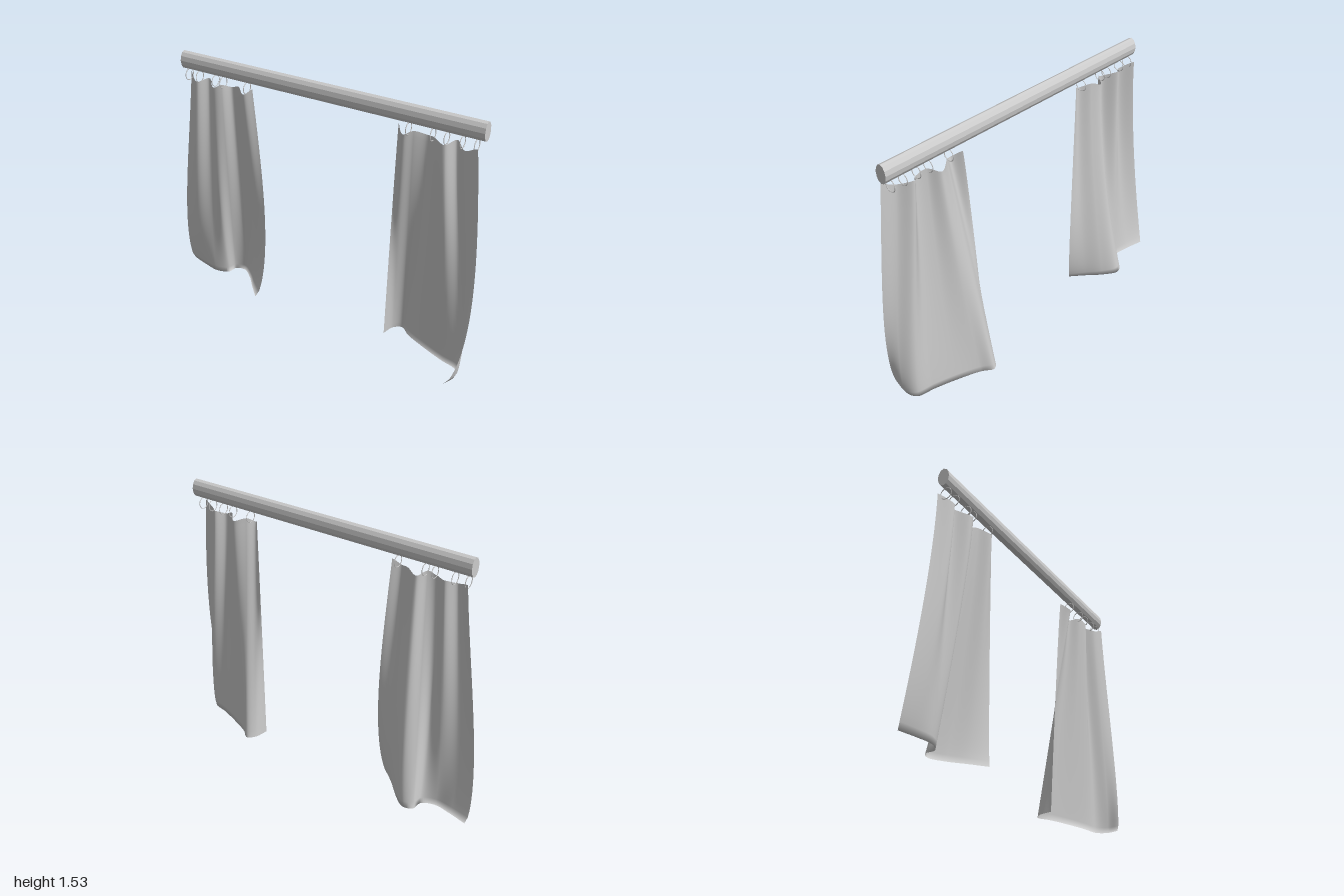
import * as THREE from 'three';
import { ParametricGeometry } from 'three/addons/geometries/ParametricGeometry.js';

const { lerp, mapLinear } = THREE.MathUtils;
const grey = new THREE.MeshStandardMaterial({ color: 0xcccccc });
const facetedGrey = new THREE.MeshStandardMaterial({ color: 0xcccccc, flatShading: true });
const clothGrey = new THREE.MeshStandardMaterial({ color: 0xcccccc, side: THREE.DoubleSide });

// Rod runs slightly askew in plan
const rodStart = new THREE.Vector3(-0.89, 1.477, -0.072);
const rodEnd = new THREE.Vector3(0.974, 1.477, 0.115);
const rodZ = x => mapLinear(x, rodStart.x, rodEnd.x, rodStart.z, rodEnd.z);
const rodAngle = Math.atan2(rodStart.z - rodEnd.z, rodEnd.x - rodStart.x);

// Each curtain: plan outlines [x, z] of heading and hem, hem heights, [x, z] swell of
// both edges, and how late the cloth leaves the heading shape at both edges
const leftCurtain = {
  name: 'leftCurtain',
  rings: [0.555, 0.69, 0.765, 0.85, 0.925],
  hemY: [0.03, 0.004],
  swell: [[0, 0], [0.08, 0]],
  delay: [0.85, 1.6],
  heading: [[0.487, 0.04], [0.53, 0.09], [0.58, 0.065], [0.65, 0.035], [0.7, 0.09], [0.76, 0.11], [0.81, 0.065], [0.87, 0.13], [0.945, 0.155]],
  hem: [[0.43, -0.02], [0.455, -0.1], [0.5, -0.13], [0.56, -0.08], [0.69, -0.01], [0.81, 0.045], [0.91, 0.085], [0.925, 0.15], [0.89, 0.225]],
};
const rightCurtain = {
  name: 'rightCurtain',
  rings: [-0.86, -0.785, -0.67, -0.615, -0.45],
  hemY: [0.03, 0.052],
  swell: [[0.055, -0.03], [-0.045, 0.03]],
  delay: [1.4, 1.5],
  heading: [[-0.412, -0.02], [-0.46, 0], [-0.52, -0.05], [-0.58, -0.075], [-0.62, -0.03], [-0.67, -0.02], [-0.74, -0.09], [-0.8, -0.05], [-0.875, -0.11]],
  hem: [[-0.43, 0], [-0.5, -0.08], [-0.57, -0.165], [-0.645, -0.225], [-0.7, -0.21], [-0.715, -0.15], [-0.79, -0.125], [-0.89, -0.15], [-0.997, -0.187]],
};

const planCurve = points => new THREE.CatmullRomCurve3(points.map(([x, z]) => new THREE.Vector3(x, 0, z)));

// Cloth: folds blend from heading to hem while the edges swell out between them
function clothGeometry({ heading, hem, hemY, swell, delay }) {
  const hemCurve = planCurve(hem);
  const headingCurve = planCurve(heading);
  return new ParametricGeometry((u, v, target) => {
    const hemShare = (1 - v) ** lerp(delay[0], delay[1], u);
    target.lerpVectors(headingCurve.getPoint(u), hemCurve.getPoint(u), hemShare);
    const belly = Math.sin(Math.PI * v ** 0.6);
    const nearStart = belly * (1 - u) ** 3;
    const nearEnd = belly * u ** 3;
    target.x += nearStart * swell[0][0] + nearEnd * swell[1][0];
    target.z += nearStart * swell[0][1] + nearEnd * swell[1][1];
    const top = 1.37 + 0.01 * Math.cos(8 * Math.PI * u) + 0.015 * Math.abs(2 * u - 1) ** 6;
    target.y = lerp(lerp(hemY[0], hemY[1], u), top, v);
  }, 64, 36);
}

function add(parent, name, geometry, material) {
  const mesh = new THREE.Mesh(geometry, material);
  mesh.name = name;
  parent.add(mesh);
  return mesh;
}

export function createModel() {
  const model = new THREE.Group();
  model.name = 'curtainsOnRod';

  // Oval rod
  const rodGeometry = new THREE.CylinderGeometry(0.0525, 0.0525, rodStart.distanceTo(rodEnd), 12);
  rodGeometry.rotateZ(Math.PI / 2).scale(1, 1, 0.66);
  const rod = add(model, 'rod', rodGeometry, facetedGrey);
  rod.position.copy(rodStart).add(rodEnd).multiplyScalar(0.5);
  rod.rotation.y = rodAngle;

  // Curtains with their hanging rings
  const ringGeometry = new THREE.TorusGeometry(0.033, 0.0022, 6, 24).rotateY(Math.PI / 2);
  for (const curtain of [leftCurtain, rightCurtain]) {
    const group = new THREE.Group();
    group.name = curtain.name;
    add(group, 'cloth', clothGeometry(curtain), clothGrey);
    for (const x of curtain.rings) {
      const ring = add(group, 'ring', ringGeometry, grey);
      ring.position.set(x, 1.392, rodZ(x));
      ring.rotation.y = rodAngle;
    }
    model.add(group);
  }
  return model;
}
